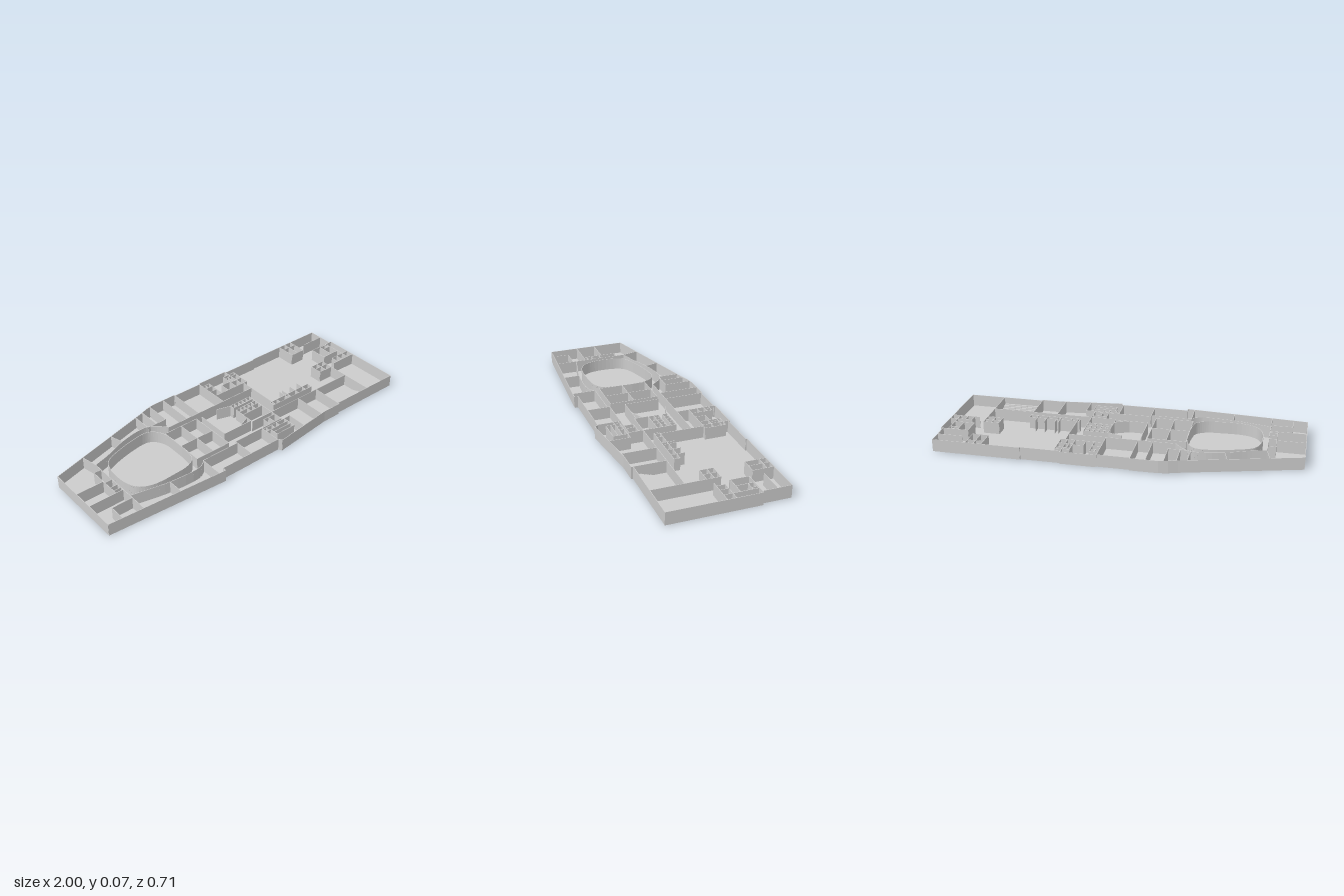
import * as THREE from 'three';
import { mergeGeometries } from 'three/addons/utils/BufferGeometryUtils.js';

const FLOOR = 0.003, TOP = 0.073, THICK = 0.003;
const material = new THREE.MeshStandardMaterial({ color: 0xcccccc, side: THREE.DoubleSide });

// Upright wall panel between two plan points (x, z)
function panel(x1, z1, x2, z2, top = TOP) {
  const g = new THREE.BoxGeometry(Math.hypot(x2 - x1, z2 - z1), top - FLOOR, THICK);
  g.rotateY(-Math.atan2(z2 - z1, x2 - x1));
  g.translate((x1 + x2) / 2, (FLOOR + top) / 2, (z1 + z2) / 2);
  return g;
}

// Wall following a list of plan points
function run(points, closed = false) {
  const out = [];
  for (let i = 0; i < points.length - (closed ? 0 : 1); i++) {
    out.push(panel(...points[i], ...points[(i + 1) % points.length]));
  }
  return out;
}

const alongX = (z, x1, x2) => panel(x1, z, x2, z);
const alongZ = (x, z1, z2) => panel(x, z1, x, z2);

// Row of small cells: long sides at z1 and z2, a divider at every x
function cells(xs, z1, z2) {
  const a = xs[0], b = xs[xs.length - 1];
  return [alongX(z1, a, b), alongX(z2, a, b), ...xs.map((x) => alongZ(x, z1, z2))];
}

// Rounded closed or open plan curve
function smooth(points, closed, n) {
  const c = new THREE.CatmullRomCurve3(points.map(([x, z]) => new THREE.Vector3(x, 0, z)), closed, 'centripetal');
  const p = c.getPoints(n).map((v) => [v.x, v.z]);
  if (closed) p.pop();
  return p;
}

const rectPath = (x1, z1, x2, z2) =>
  new THREE.Path([[x1, z1], [x2, z1], [x2, z2], [x1, z2]].map(([x, z]) => new THREE.Vector2(x, z)));

export function createModel() {
  const model = new THREE.Group();
  const add = (name, parts) => {
    const mesh = new THREE.Mesh(mergeGeometries(parts), material);
    mesh.name = name;
    model.add(mesh);
  };

  // Building outline
  const outline = [
    [-1, -0.155], [-0.36, -0.33], [-0.31, -0.347], [-0.26, -0.356], [-0.11, -0.357], [-0.11, -0.35],
    [0.075, -0.35], [0.075, -0.358], [0.27, -0.358], [0.27, -0.35], [0.49, -0.35], [0.49, -0.356],
    [0.985, -0.356], [0.985, -0.2], [0.999, -0.2], [0.999, 0.297], [0.56, 0.297], [0.56, 0.307],
    [0.445, 0.307], [0.085, 0.35], [0.075, 0.33], [-0.31, 0.33], [-0.31, 0.352], [-1, 0.307],
  ];
  add('outerWalls', run(outline, true));

  // Floor plate, open below the small stalls and the tiered room
  const shape = new THREE.Shape(outline.map(([x, z]) => new THREE.Vector2(x, z)));
  const stallX = [0.072, 0.1, 0.128, 0.156, 0.184, 0.212];
  for (let i = 0; i < 5; i++) {
    shape.holes.push(rectPath(stallX[i], -0.07, stallX[i + 1] - 0.003, -0.042));
    if (i !== 2) shape.holes.push(rectPath(stallX[i], -0.02, stallX[i + 1] - 0.003, 0.008));
  }
  shape.holes.push(rectPath(0.565, 0.19, 0.793, 0.293));
  const plate = new THREE.ExtrudeGeometry(shape, { depth: 0.001, bevelEnabled: false });
  plate.rotateX(Math.PI / 2);
  plate.translate(0, FLOOR + 0.001, 0);
  add('floor', [plate]);

  // Slightly sunken slab under one side room
  const slab = new THREE.BoxGeometry(0.225, 0.003, 0.11);
  slab.translate(-0.228, 0.0015, 0.275);
  add('sunkenSlab', [slab]);

  // Tiered steps rising toward the front wall
  const steps = [];
  for (let i = 0; i < 8; i++) {
    const y = 0.006 + i * 0.004, z = 0.19 + i * 0.0132;
    const tread = new THREE.BoxGeometry(0.23, 0.001, 0.0132);
    tread.translate(0.679, y, z + 0.0066);
    const riser = new THREE.BoxGeometry(0.23, 0.004, 0.001);
    riser.translate(0.679, y - 0.002, z);
    steps.push(tread, riser);
  }
  add('tieredSteps', steps);

  // Rounded hall and the corridor wall around it
  add('hallWall', run(smooth([
    [-0.37, -0.09], [-0.37, 0.11], [-0.385, 0.165], [-0.44, 0.198], [-0.52, 0.207], [-0.66, 0.205],
    [-0.73, 0.17], [-0.762, 0.1], [-0.762, -0.03], [-0.735, -0.09], [-0.67, -0.125], [-0.46, -0.17],
    [-0.41, -0.155],
  ], true, 70), true));
  add('hallCorridorWalls', [
    ...run(smooth([[-0.8, -0.11], [-0.7, -0.14], [-0.585, -0.185], [-0.46, -0.21], [-0.4, -0.205],
      [-0.36, -0.18], [-0.315, -0.13]], false, 24)),
    ...run(smooth([[-0.8, 0.2], [-0.7, 0.222], [-0.585, 0.243], [-0.41, 0.25], [-0.37, 0.235],
      [-0.345, 0.215]], false, 20)),
  ]);

  // Rooms at the narrow end and around the hall
  add('endRooms', [
    alongX(0.025, -1, -0.84), alongX(0.14, -1, -0.8), alongZ(-0.843, -0.06, 0.14), alongX(-0.06, -0.843, -0.8),
    ...[0.04, 0.09, 0.12].map((z) => alongX(z, -0.843, -0.8)),
    alongZ(-0.8, -0.11, 0.32), panel(-0.82, -0.205, -0.8, -0.11),
    alongX(0.22, -0.92, -0.8), alongZ(-0.92, 0.22, 0.312),
  ]);
  add('hallSideRooms', [
    panel(-0.605, -0.262, -0.585, -0.185), alongZ(-0.585, 0.243, 0.334),
    alongZ(-0.405, -0.318, -0.205), alongZ(-0.35, -0.333, -0.2), alongX(-0.2, -0.405, -0.285),
    alongZ(-0.285, -0.352, -0.2), alongZ(-0.19, -0.357, -0.13), alongZ(-0.108, -0.357, -0.13),
    alongX(-0.13, -0.32, 0.07), alongZ(-0.35, 0.215, 0.347), alongZ(-0.117, 0.2, 0.33),
    alongX(0.215, -0.35, -0.117), alongX(0.2, -0.117, 0.215),
  ]);

  // Block of rooms divided by a cross
  add('crossRooms', [
    ...cells([-0.365, -0.257, -0.152], -0.095, 0.185), alongX(0.045, -0.365, -0.152),
  ]);

  // Lobby and the stalls in the middle
  add('lobbyWalls', [
    alongZ(-0.117, -0.09, 0.11), alongX(0.11, -0.117, 0.07),
    panel(-0.01, -0.092, 0.07, -0.068), panel(-0.01, 0.11, 0.07, 0.075),
    alongZ(0.07, 0.04, 0.11), alongZ(0.213, -0.07, 0.2), alongX(0.12, 0.07, 0.797),
  ]);
  add('stalls', [
    ...cells(stallX, -0.07, -0.042), ...cells(stallX, -0.02, 0.008),
    ...cells([0.072, 0.13, 0.165, 0.212], 0.008, 0.04), ...cells([0.13, 0.165, 0.212], 0.147, 0.2),
  ]);

  // Small rooms on both long sides of the middle
  add('frontSmallRooms', [
    ...cells([0.07, 0.09, 0.13, 0.165, 0.225], 0.212, 0.24), alongZ(0.225, 0.24, 0.292),
    alongX(0.292, 0.1, 0.225), alongZ(0.1, 0.24, 0.292), alongX(0.265, 0.1, 0.225),
    alongZ(0.07, 0.2, 0.33), alongX(0.21, 0.225, 0.267), alongZ(0.267, 0.21, 0.327),
    alongZ(0.417, 0.12, 0.31), alongZ(0.56, 0.12, 0.305), alongZ(0.797, 0.12, 0.297),
  ]);
  add('backSmallRooms', [
    alongZ(0.07, -0.358, -0.13), alongX(-0.13, 0.07, 0.28), alongZ(0.28, -0.2, 0.08),
    ...cells([0.07, 0.09, 0.118], -0.32, -0.29), ...cells([0.07, 0.118], -0.25, -0.2),
    alongZ(0.118, -0.32, -0.2), alongZ(0.225, -0.32, -0.2), alongZ(0.267, -0.358, -0.2),
    ...cells([0.165, 0.225], -0.26, -0.2), ...cells([0.225, 0.245, 0.267, 0.305], -0.3, -0.25),
    alongX(-0.2, 0.07, 0.305), alongZ(0.305, -0.32, -0.2), alongX(-0.32, 0.225, 0.305),
  ]);

  // Row of cubicles along the large open hall
  add('cubicleRow', [
    ...cells([0.267, 0.315, 0.38, 0.4, 0.46, 0.515, 0.56], 0.048, 0.08),
    ...[0.38, 0.4, 0.46, 0.515].map((x) => alongZ(x, 0.005, 0.048)),
  ]);

  // Rooms at the wide end
  add('wideEndRooms', [
    ...cells([0.706, 0.75, 0.797], -0.356, -0.318), ...cells([0.706, 0.75, 0.797], -0.318, -0.24),
    ...cells([0.706, 0.75, 0.797], -0.07, -0.035), ...cells([0.706, 0.75, 0.797], -0.035, 0.005),
    alongX(-0.28, 0.84, 0.985), alongX(-0.2, 0.84, 0.999), alongZ(0.84, -0.2, -0.095),
    alongX(-0.1, 0.84, 0.955), ...cells([0.9, 0.94, 0.955], -0.195, -0.165), alongZ(0.9, -0.165, -0.1),
    alongZ(0.955, -0.165, -0.06), alongX(-0.06, 0.87, 0.999), alongX(-0.013, 0.84, 0.999),
    ...[0.87, 0.91, 0.955].map((x) => alongZ(x, -0.06, -0.013)),
    alongZ(0.797, 0.005, 0.12),
  ]);

  return model;
}
